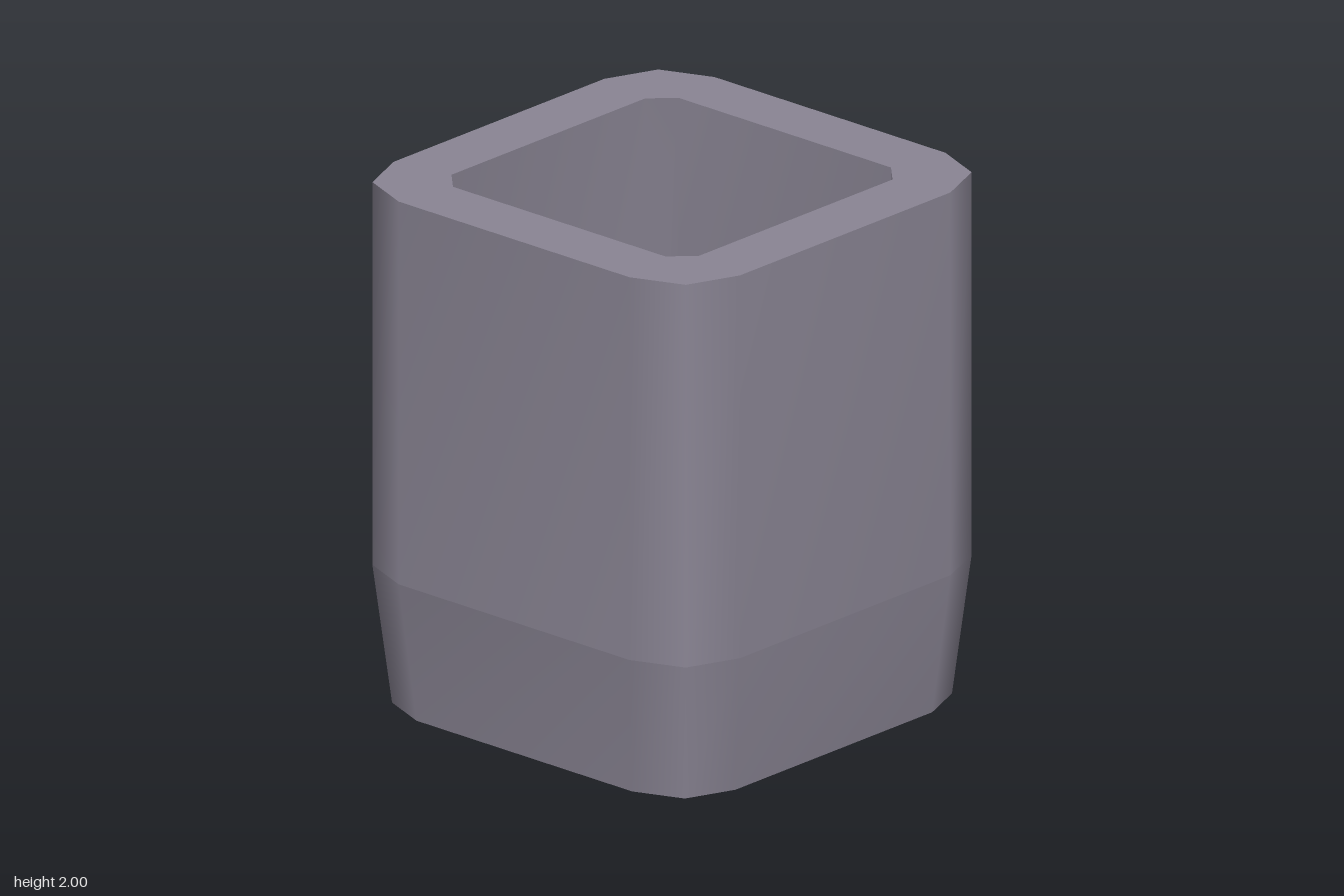
import * as THREE from 'three';

// Closed square outline with cut corners, mirrored from the points of one corner
function outline(corner) {
  const points = [];
  for (let k = 0; k < 4; k++) {
    const c = Math.round(Math.cos(k * Math.PI / 2));
    const s = Math.round(Math.sin(k * Math.PI / 2));
    for (const [x, z] of corner) points.push(new THREE.Vector2(x * c - z * s, x * s + z * c));
  }
  return points;
}

// Smooth wall between two outlines; swapping the two heights turns it inward
function wall(from, y0, to, y1) {
  const n = from.length;
  const positions = [];
  const index = [];
  for (let i = 0; i < n; i++) {
    positions.push(from[i].x, y0, from[i].y, to[i].x, y1, to[i].y);
    const a = 2 * i;
    const b = 2 * ((i + 1) % n);
    index.push(a, a + 1, b, b, a + 1, b + 1);
  }
  const geometry = new THREE.BufferGeometry();
  geometry.setAttribute('position', new THREE.Float32BufferAttribute(positions, 3));
  geometry.setIndex(index);
  geometry.computeVertexNormals();
  return geometry;
}

// Flat horizontal face, with an optional hole
function cap(points, y, up, hole) {
  const shape = new THREE.Shape(points);
  if (hole) shape.holes.push(new THREE.Path(hole));
  return new THREE.ShapeGeometry(shape).rotateX(up ? -Math.PI / 2 : Math.PI / 2).translate(0, y, 0);
}

export function createModel() {
  const model = new THREE.Group();
  model.name = 'squareCup';
  const material = new THREE.MeshStandardMaterial({ color: 0x8a8594 });
  material.name = 'mauve grey';

  const height = 2;
  const shoulder = 0.53;
  const floor = 0.24;
  const outer = outline([[0.84, 0.56], [0.76, 0.76], [0.56, 0.84]]);
  const foot = outer.map((p) => p.clone().multiplyScalar(0.785 / 0.84));
  const inner = outline([[0.6, 0.515], [0.515, 0.6]]);

  const parts = {
    body: wall(outer, shoulder, outer, height),
    taperedBase: wall(foot, 0, outer, shoulder),
    innerWall: wall(inner, height, inner, floor),
    rim: cap(outer, height, true, inner),
    innerFloor: cap(inner, floor, true),
    underside: cap(foot, 0, false),
  };
  for (const [name, geometry] of Object.entries(parts)) {
    const mesh = new THREE.Mesh(geometry, material);
    mesh.name = name;
    model.add(mesh);
  }
  return model;
}
